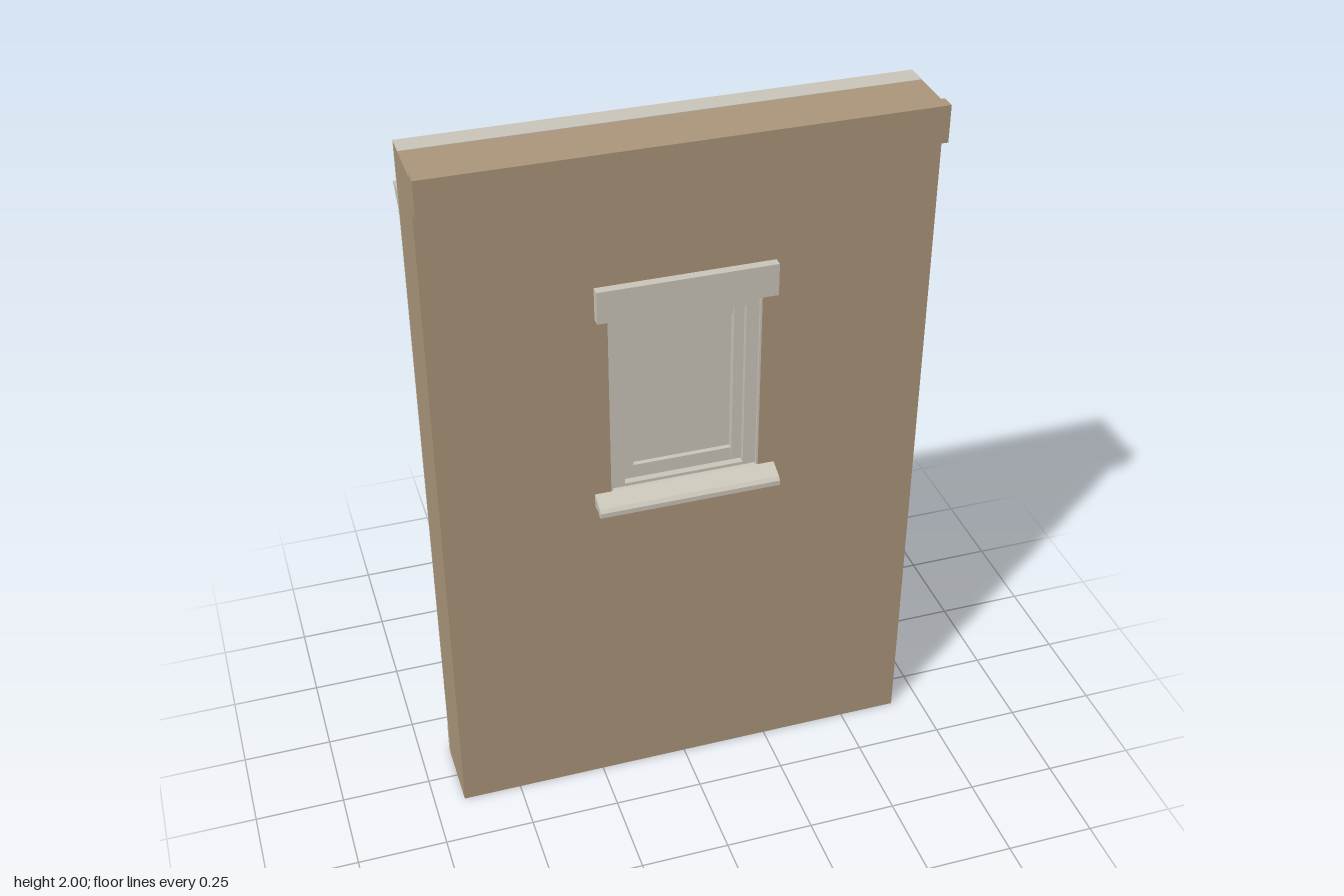
import * as THREE from 'three';

const tan = new THREE.MeshStandardMaterial({ color: 0xab967a });
tan.name = 'tan wall';
const cream = new THREE.MeshStandardMaterial({ color: 0xcbc6ba });
cream.name = 'cream trim';

export function createModel() {
  const model = new THREE.Group();
  model.name = 'wallWithWindow';
  const W = 0.665;

  const add = (name, geometry, material) => {
    const mesh = new THREE.Mesh(geometry, material);
    mesh.name = name;
    model.add(mesh);
  };

  // Box given by its limits on each axis
  const box = (name, x0, x1, y0, y1, z0, z1, material = cream) => {
    const g = new THREE.BoxGeometry(x1 - x0, y1 - y0, z1 - z0);
    g.translate((x0 + x1) / 2, (y0 + y1) / 2, (z0 + z1) / 2);
    add(name, g, material);
  };

  // Rectangle [halfWidth, bottom, top] with a rectangular hole, from z0 to z1
  const rect = (path, [h, b, t]) =>
    path.moveTo(-h, b).lineTo(h, b).lineTo(h, t).lineTo(-h, t).closePath();
  const ring = (name, outer, inner, z0, z1, material = cream) => {
    const shape = rect(new THREE.Shape(), outer);
    shape.holes.push(rect(new THREE.Path(), inner));
    const g = new THREE.ExtrudeGeometry(shape, { depth: z1 - z0, bevelEnabled: false });
    add(name, g.translate(0, 0, z0), material);
  };

  // Moulding: a [z, y] profile run along x
  const moulding = (name, half, points) => {
    const shape = new THREE.Shape(points.map(([z, y]) => new THREE.Vector2(z, y)));
    const g = new THREE.ExtrudeGeometry(shape, { depth: 2 * half, bevelEnabled: false });
    add(name, g.rotateY(-Math.PI / 2).translate(half, 0, 0), cream);
  };

  // Wall, inner plaster face and top band
  const opening = [0.205, 0.99, 1.545];
  ring('wall', [W, 0, 1.99], opening, -0.094, 0.1, tan);
  ring('plaster', [W, 0.002, 1.99], opening, -0.102, -0.094);
  box('plasterCap', -W, W, 1.985, 1.992, -0.102, -0.04);
  box('topBand', -W, W, 1.9, 2, 0.096, 0.137, tan);

  // Window lining, frame, sash and pane
  ring('lining', [0.205, 0.99, 1.545], [0.2, 1.0, 1.535], -0.102, 0.098);
  ring('windowFrame', [0.2, 1.0, 1.535], [0.165, 1.01, 1.5], 0.025, 0.09);
  ring('sash', [0.165, 1.01, 1.5], [0.137, 1.05, 1.467], 0.035, 0.07);
  for (const s of [-1, 1]) {
    box('sashStop', s * 0.151 - 0.014, s * 0.151 + 0.014, 1.015, 1.495, 0.07, 0.076);
  }
  box('pane', -0.138, 0.138, 1.05, 1.468, 0.049, 0.056);

  // Front header and sloping sill
  box('frontHeader', -0.238, 0.238, 1.535, 1.625, 0.098, 0.125);
  moulding('frontSill', 0.25, [
    [0.06, 0.99], [0.06, 1.005], [0.1, 1.0], [0.145, 0.982], [0.153, 0.972],
    [0.153, 0.958], [0.138, 0.956], [0.132, 0.962], [0.1, 0.962],
  ]);

  // Back casing
  for (const s of [-1, 1]) {
    box('sideCasing', s * 0.228 - 0.028, s * 0.228 + 0.028, 1.015, 1.53, -0.115, -0.1);
  }
  box('headCasing', -0.258, 0.258, 1.535, 1.61, -0.112, -0.1);
  box('headBead', -0.264, 0.264, 1.525, 1.538, -0.118, -0.1);
  moulding('headCap', 0.28, [
    [-0.1, 1.6], [-0.114, 1.602], [-0.128, 1.614], [-0.13, 1.624], [-0.1, 1.624],
  ]);
  moulding('stool', 0.283, [
    [-0.1, 0.998], [-0.13, 0.998], [-0.135, 1.007], [-0.13, 1.016], [-0.1, 1.016],
  ]);
  moulding('apron', 0.257, [
    [-0.1, 0.94], [-0.107, 0.943], [-0.113, 0.998], [-0.1, 0.998],
  ]);

  // Crown moulding and baseboard along the back
  moulding('crown', W, [
    [-0.1, 1.79], [-0.106, 1.795], [-0.109, 1.812], [-0.12, 1.82], [-0.134, 1.833],
    [-0.141, 1.848], [-0.153, 1.853], [-0.153, 1.86], [-0.1, 1.86],
  ]);
  moulding('baseboard', W, [
    [-0.1, 0], [-0.118, 0], [-0.118, 0.012], [-0.114, 0.02], [-0.114, 0.065],
    [-0.109, 0.085], [-0.106, 0.1], [-0.1, 0.112],
  ]);

  return model;
}
